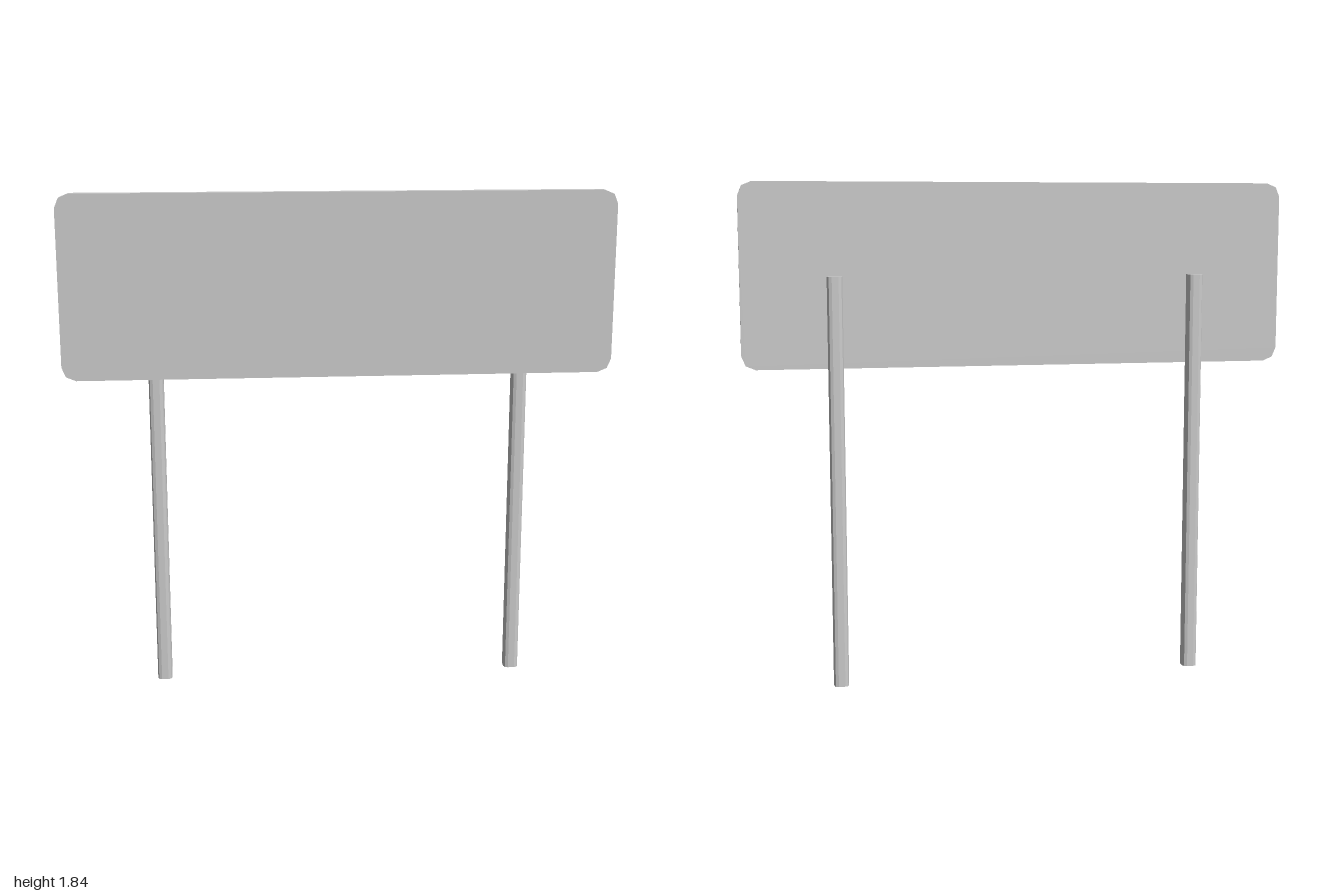
import * as THREE from 'three';

// Rectangle centred on the origin with faceted round corners
function roundedRect(w, h, r) {
  const x = w / 2 - r, y = h / 2 - r, q = Math.PI / 2;
  const s = new THREE.Shape();
  s.absarc(x, y, r, 0, q);
  s.absarc(-x, y, r, q, 2 * q);
  s.absarc(-x, -y, r, 2 * q, 3 * q);
  s.absarc(x, -y, r, 3 * q, 4 * q);
  s.closePath();
  return s;
}

// curveSegments 1 gives two facets per corner arc
function extrude(shape, depth) {
  return new THREE.ExtrudeGeometry(shape, { depth, bevelEnabled: false, curveSegments: 1 });
}

export function createModel() {
  const group = new THREE.Group();
  const material = new THREE.MeshStandardMaterial({ color: 0xcccccc, flatShading: true });

  // Sign board
  const board = new THREE.Mesh(extrude(roundedRect(2, 0.665, 0.05), 0.037), material);
  board.name = 'signBoard';
  board.position.set(0, 1.503, 0.005);
  group.add(board);

  // Two posts, set slightly into the back of the board
  const postGeometry = extrude(roundedRect(0.054, 0.058, 0.015), 1.5).rotateX(-Math.PI / 2);
  for (const [name, side] of [['leftPost', 1], ['rightPost', -1]]) {
    const post = new THREE.Mesh(postGeometry, material);
    post.name = name;
    post.position.set(side * 0.667, 0, -0.013);
    group.add(post);
  }
  return group;
}
